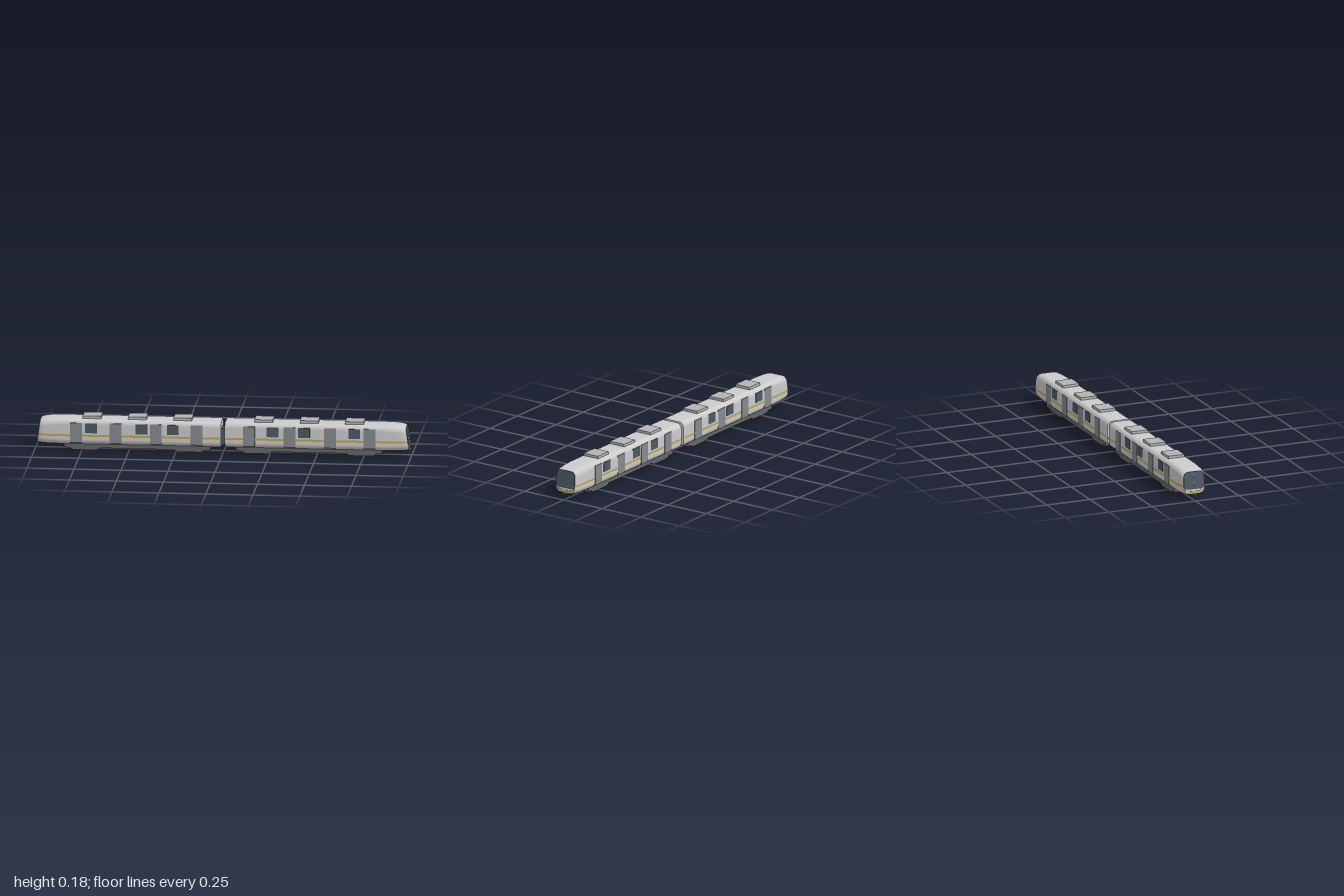
import * as THREE from 'three';

const mat = (color, side = THREE.FrontSide) => new THREE.MeshStandardMaterial({ color, side });
const grey = mat(0xcccccc), doorGrey = mat(0x858b90), glass = mat(0x4c5965), dark = mat(0x666666);
const roofGrey = mat(0xb4b4b4), yellow = mat(0xc2a548, THREE.DoubleSide), silver = mat(0xdddddd);

// Body sections along one car: x, half width, bottom, top, corner radius
const SECTIONS = [
  [0.010, 0.068, 0.034, 0.165, 0.030], [0.016, 0.0715, 0.030, 0.169, 0.030],
  [0.30, 0.0715, 0.030, 0.169, 0.030], [0.60, 0.0715, 0.030, 0.169, 0.030],
  [0.85, 0.0715, 0.030, 0.169, 0.030], [0.92, 0.0708, 0.030, 0.168, 0.034],
  [0.955, 0.069, 0.031, 0.166, 0.035], [0.975, 0.066, 0.033, 0.163, 0.035],
  [0.985, 0.0625, 0.036, 0.160, 0.033], [0.988, 0.059, 0.039, 0.157, 0.030],
];

// The nose leans back towards the roof
const rake = (x, y) => x - 0.14 * (y - 0.04) * THREE.MathUtils.smoothstep(x, 0.88, 0.985);

function ring([x, w, bottom, top, r]) {
  const pts = [], steps = 6;
  const corners = [[w - r, top - r], [r - w, top - r], [r - w, bottom + r], [w - r, bottom + r]];
  corners.forEach(([z, y], q) => {
    for (let k = 0; k <= steps; k++) {
      const a = (q + k / steps) * Math.PI / 2;
      const py = y + r * Math.sin(a);
      pts.push([rake(x, py), py, z + r * Math.cos(a)]);
    }
  });
  return pts;
}

function bodyGeometry() {
  const rings = SECTIONS.map(ring), n = rings[0].length;
  const pos = rings.flat(2), index = [];
  for (let i = 0; i < rings.length - 1; i++) {
    for (let j = 0; j < n; j++) {
      const a = i * n + j, b = i * n + (j + 1) % n, c = a + n, d = b + n;
      index.push(a, c, b, b, c, d);
    }
  }
  // Flat end caps with their own corners keep the rims sharp
  [[rings[0], false], [rings[rings.length - 1], true]].forEach(([loop, front]) => {
    const start = pos.length / 3;
    pos.push(...loop.flat());
    for (let j = 1; j < n - 1; j++) {
      if (front) index.push(start, start + j + 1, start + j);
      else index.push(start, start + j, start + j + 1);
    }
  });
  const g = new THREE.BufferGeometry();
  g.setAttribute('position', new THREE.Float32BufferAttribute(pos, 3));
  g.setIndex(index);
  g.computeVertexNormals();
  return g;
}

// Ribbon that follows the body side from end to nose
function stripeGeometry(side) {
  const pos = [], index = [];
  SECTIONS.slice(1).forEach(([x, w], i) => {
    [0.076, 0.087].forEach(y => pos.push(rake(x, y), y, side * (w + 0.001)));
    const a = i * 2;
    if (i) index.push(...(side > 0 ? [a - 2, a, a - 1, a - 1, a, a + 1] : [a - 2, a - 1, a, a - 1, a + 1, a]));
  });
  const g = new THREE.BufferGeometry();
  g.setAttribute('position', new THREE.Float32BufferAttribute(pos, 3));
  g.setIndex(index);
  g.computeVertexNormals();
  return g;
}

// Thin plate on the raked nose face, drawn in (z, y)
function nosePlate(shape, x, depth) {
  const g = new THREE.ExtrudeGeometry(shape, { depth, bevelEnabled: false, curveSegments: 10 });
  g.rotateY(Math.PI / 2);
  const p = g.attributes.position;
  for (let i = 0; i < p.count; i++) p.setX(i, x + p.getX(i) - 0.14 * (p.getY(i) - 0.04));
  g.computeVertexNormals();
  return g;
}

function add(parent, name, geometry, material, x = 0, y = 0, z = 0) {
  const m = new THREE.Mesh(geometry, material);
  m.name = name;
  m.position.set(x, y, z);
  parent.add(m);
  return m;
}
const box = (w, h, d) => new THREE.BoxGeometry(w, h, d);

function buildNose(car) {
  const screen = new THREE.Shape();
  screen.moveTo(-0.052, 0.064);
  screen.lineTo(0.052, 0.064);
  screen.quadraticCurveTo(0.060, 0.066, 0.060, 0.080);
  screen.lineTo(0.057, 0.130);
  screen.quadraticCurveTo(0.053, 0.156, 0.032, 0.157);
  screen.lineTo(-0.032, 0.157);
  screen.quadraticCurveTo(-0.053, 0.156, -0.057, 0.130);
  screen.lineTo(-0.060, 0.080);
  screen.quadraticCurveTo(-0.060, 0.066, -0.052, 0.064);
  add(car, 'windscreen', nosePlate(screen, 0.982, 0.009), glass);

  const divider = new THREE.Shape([[-0.0006, 0.066], [0.0006, 0.066], [0.0006, 0.155], [-0.0006, 0.155]]
    .map(p => new THREE.Vector2(...p)));
  add(car, 'windscreenDivider', nosePlate(divider, 0.990, 0.0015), doorGrey);

  const panel = new THREE.Shape();
  panel.moveTo(-0.050, 0.063);
  panel.quadraticCurveTo(0, 0.042, 0.050, 0.063);
  add(car, 'chinPanel', nosePlate(panel, 0.987, 0.002), silver);

  const smile = new THREE.Shape();
  smile.moveTo(-0.048, 0.056);
  smile.quadraticCurveTo(0, 0.050, 0.048, 0.056);
  smile.quadraticCurveTo(0.035, 0.043, 0.020, 0.043);
  smile.lineTo(-0.020, 0.043);
  smile.quadraticCurveTo(-0.035, 0.043, -0.048, 0.056);
  add(car, 'chinStripe', nosePlate(smile, 0.987, 0.003), yellow);

  for (const s of [-1, 1]) {
    const lamp = add(car, 'headlight', new THREE.CylinderGeometry(0.006, 0.006, 0.006, 16), silver, 0.986, 0.063, s * 0.048);
    lamp.rotation.z = -Math.PI / 2;
  }
  add(car, 'coupler', box(0.05, 0.011, 0.013), dark, 0.975, 0.034);
}

function buildCar() {
  const car = new THREE.Group();
  car.name = 'car';
  add(car, 'body', bodyGeometry(), grey);
  for (const s of [-1, 1]) {
    add(car, 'sideStripe', stripeGeometry(s), yellow);
    for (const x of [0.139, 0.356, 0.570, 0.780])
      add(car, 'door', box(0.063, 0.107, 0.008), doorGrey, x, 0.0965, s * 0.0693);
    for (const x of [0.265, 0.432, 0.700])
      add(car, 'window', box(0.062, 0.053, 0.008), glass, x, 0.122, s * 0.0690);
  }
  for (const x of [0.215, 0.457, 0.698])
    add(car, 'roofUnit', box(0.098, 0.018, 0.092), roofGrey, x, 0.174);

  // Underframe and bogies with sloping ends
  add(car, 'underframe', box(0.778, 0.022, 0.109), dark, 0.457, 0.023);
  for (const x of [0.180, 0.735]) {
    const g = box(0.17, 0.016, 0.105), p = g.attributes.position;
    for (let i = 0; i < p.count; i++) if (p.getY(i) < 0) p.setX(i, p.getX(i) * 0.75);
    g.computeVertexNormals();
    add(car, 'bogie', g, dark, x, 0.008);
  }
  buildNose(car);
  return car;
}

export function createModel() {
  const model = new THREE.Group();
  model.name = 'train';
  const leadCar = buildCar();
  const rearCar = leadCar.clone();
  rearCar.rotation.y = Math.PI;
  model.add(leadCar, rearCar);
  add(model, 'gangway', box(0.024, 0.088, 0.075), glass, 0, 0.084);
  return model;
}
